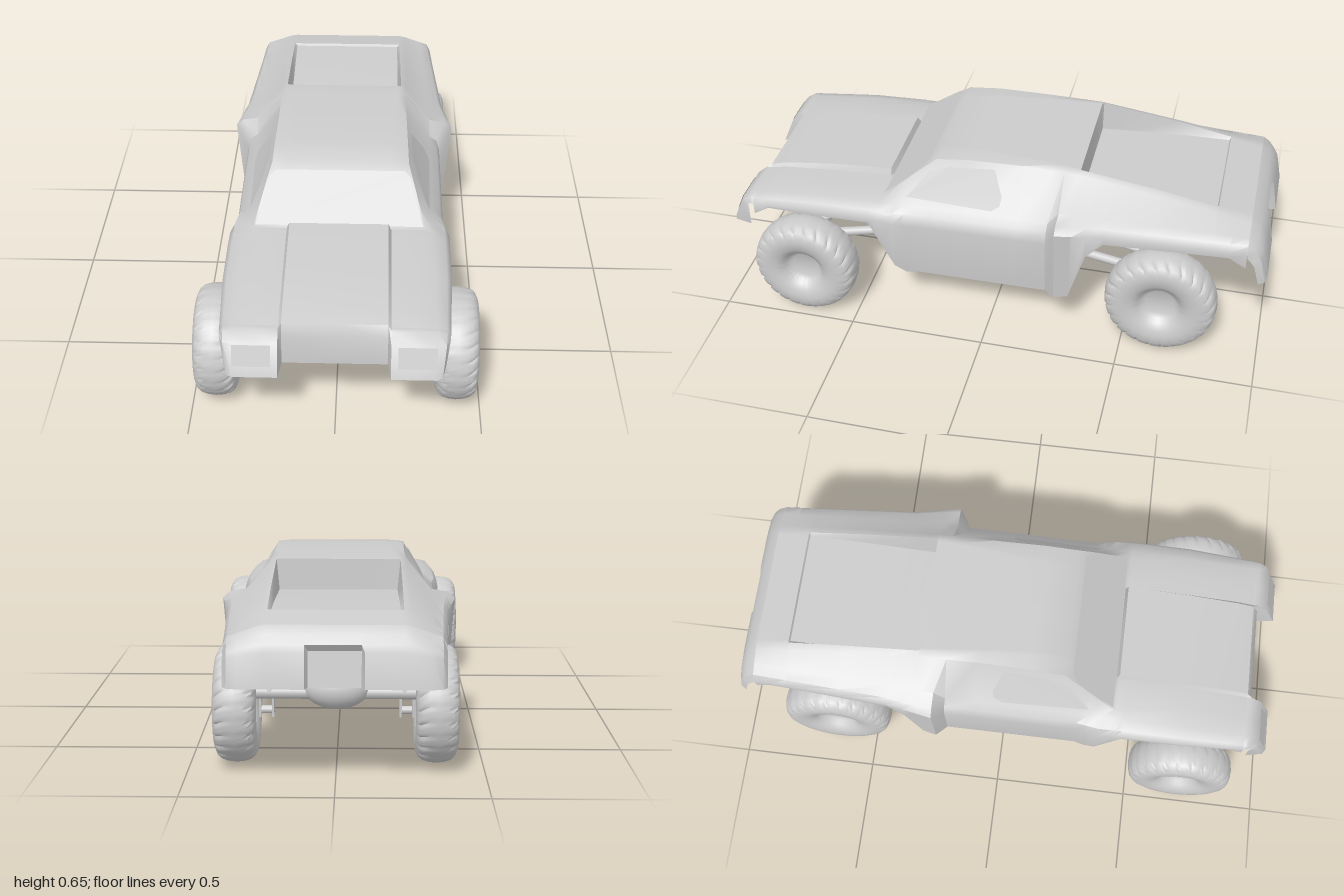
import * as THREE from 'three';
import { toCreasedNormals } from 'three/addons/utils/BufferGeometryUtils.js';

const mat = new THREE.MeshStandardMaterial({ color: 0xcccccc, side: THREE.DoubleSide });

function add(parent, name, geo) {
  const m = new THREE.Mesh(geo, mat);
  m.name = name;
  parent.add(m);
  return m;
}

// Surface through rows of [x, y, z] points, all rows the same length
function loft(rows) {
  const n = rows[0].length, idx = [];
  for (let r = 0; r < rows.length - 1; r++) {
    for (let c = 0; c < n - 1; c++) {
      const a = r * n + c, b = a + 1, d = a + n, e = d + 1;
      idx.push(a, b, d, b, e, d);
    }
  }
  const g = new THREE.BufferGeometry();
  g.setAttribute('position', new THREE.Float32BufferAttribute(rows.flat(2), 3));
  g.setIndex(idx);
  return toCreasedNormals(g, 0.75);
}

// Mirrors a half row (from x = 0 outwards) into a full row from -x to +x
const mirrorRow = (half) => [
  ...half.slice(1).reverse().map(([x, y, z]) => [-x, y, z]), ...half];

// Flat panel as a fan of corners
function panel(parent, name, pts) {
  const pos = [];
  for (let i = 1; i < pts.length - 1; i++) pos.push(...pts[0], ...pts[i], ...pts[i + 1]);
  const g = new THREE.BufferGeometry();
  g.setAttribute('position', new THREE.Float32BufferAttribute(pos, 3));
  g.computeVertexNormals();
  add(parent, name, g);
}

function rod(parent, name, a, b, r) {
  const p = new THREE.Vector3(...a), q = new THREE.Vector3(...b);
  const m = add(parent, name, new THREE.CylinderGeometry(r, r, p.distanceTo(q), 14));
  m.position.copy(p).lerp(q, 0.5);
  m.quaternion.setFromUnitVectors(new THREE.Vector3(0, 1, 0), q.sub(p).normalize());
}

function box(parent, name, size, at) {
  const m = add(parent, name, new THREE.BoxGeometry(...size));
  m.position.set(...at);
}

// Body lines along the length, front to back, as [z, value]
const lines = {
  roofY: [[0.9, 0.447], [0.84, 0.463], [0.65, 0.488], [0.42, 0.505], [0.41, 0.48], [0.22, 0.636],
    [0.1, 0.65], [-0.1, 0.655], [-0.3, 0.652], [-0.6, 0.609], [-0.92, 0.55]],
  hoodStep: [[0.9, 0.01], [0.65, 0.022], [0.42, 0.025], [0.41, 0]],
  bedDepth: [[-0.305, 0], [-0.311, 0.11], [-0.795, 0.01], [-0.8, 0]],
  stepX: [[0.1, 0.175], [-0.3, 0.212]],
  roofEdgeX: [[0.65, 0.27], [0.41, 0.305], [0.22, 0.246], [-0.1, 0.24], [-0.92, 0.25]],
  roofEdgeDrop: [[0.28, 0.001], [0.22, 0.006], [-0.3, 0.01], [-0.92, 0.006]],
  beltX: [[0.9, 0.335], [-0.3, 0.337], [-0.92, 0.308]],
  beltY: [[0.9, 0.434], [0.65, 0.458], [0.42, 0.467], [-0.21, 0.48], [-0.25, 0.532], [-0.92, 0.523]],
  sideX: [[0.9, 0.38], [0.65, 0.392], [0.36, 0.394], [0.28, 0.375], [-0.21, 0.377], [-0.25, 0.423],
    [-0.42, 0.39], [-0.8, 0.363], [-0.92, 0.356]],
  sideDrop: [[0.9, 0.027], [0.45, 0.037], [0.28, 0.065], [-0.21, 0.065], [-0.25, 0.035], [-0.92, 0.04]],
  lowerY: [[0.9, 0.36], [0.84, 0.4], [0.45, 0.408], [0.41, 0.32], [0.36, 0.21], [0.32, 0.178],
    [-0.21, 0.184], [-0.3, 0.2], [-0.36, 0.4], [-0.42, 0.462], [-0.86, 0.46], [-0.92, 0.42]],
};

function at(line, z) {
  const i = line.findIndex(([k]) => k <= z);
  if (i < 0) return line.at(-1)[1];
  if (i === 0) return line[0][1];
  const [z0, v0] = line[i - 1], [z1, v1] = line[i];
  return v0 + (v1 - v0) * (z - z0) / (z1 - z0);
}

// Half cross-section of the body, from the centre line out and down to the lower edge
function section(z) {
  const v = {};
  for (const key in lines) v[key] = at(lines[key], z);
  const inner = v.roofY - v.bedDepth, outer = v.roofY - v.hoodStep, sideY = v.beltY - v.sideDrop;
  return [
    [0, inner, z], [v.stepX, inner, z], [v.stepX + 0.01, outer, z],
    [v.roofEdgeX, outer - v.roofEdgeDrop, z], [v.beltX, v.beltY, z],
    [v.beltX + 0.7 * (v.sideX - v.beltX), v.beltY - 0.3 * v.sideDrop, z],
    [v.sideX, sideY, z], [v.sideX - 0.075 * (sideY - v.lowerY), v.lowerY, z]];
}

function bodyShell(root) {
  const body = new THREE.Group();
  body.name = 'bodyShell';
  root.add(body);
  const stations = [...new Set(Object.values(lines).flat().map(([z]) => z))].sort((a, b) => b - a);
  add(body, 'mainShell', loft(stations.map((z) => mirrorRow(section(z)))));

  // Nose: recessed centre between two forward pods
  const brow = section(0.9).slice(0, 7), forward = [0, 0, 1, 1, 1, 0.85, 0];
  const noseRow = (y, zMid, zPod, inset) => mirrorRow(brow.map(([x, top], i) =>
    [i > 4 ? x - inset : x, y ?? top, zMid + (zPod - zMid) * forward[i]]));
  add(body, 'nose', loft([noseRow(0.3, 0.925, 1, 0.012), noseRow(0.405, 0.92, 0.955, 0.002),
    noseRow(null, 0.9, 0.918, 0), noseRow(null, 0.9, 0.9, 0)]));

  // Tail panel with a small plate recess low in the middle
  const rear = section(-0.92), roofY = rear[0][1];
  const rim = [[0, roofY], [0.085, roofY], [0.095, roofY], ...rear.slice(2, 7)];
  const recess = [0.025, 0.025, 0, 0, 0, 0, 0.008, 0.03];
  const tailRow = (k, z) => mirrorRow(rim.map(([x, top], i) =>
    [x, top + (0.36 - top) * k, z + (k > 0.3 || (k > 0 && i > 4) ? recess[i] : 0)]));
  add(body, 'tailPanel', loft([tailRow(0, -0.92), tailRow(0.12, -0.952), tailRow(0.28, -0.97),
    tailRow(0.4, -0.98), tailRow(1, -1)]));

  // Windshield, side windows and headlights
  const glass = (x, z) => [x, at(lines.roofY, z) + 0.004, z];
  panel(body, 'windshield', [glass(-0.298, 0.407), glass(0.298, 0.407), glass(0.25, 0.265),
    glass(0.232, 0.248), glass(-0.232, 0.248), glass(-0.25, 0.265)]);
  const pane = [[0.32, 0.495], [0.24, 0.59], [0.17, 0.612], [0, 0.624], [-0.035, 0.54], [-0.03, 0.51], [0, 0.492]];
  const lamp = [[0.208, 0.335], [0.335, 0.335], [0.335, 0.402], [0.208, 0.402]];
  for (const s of [1, -1]) {
    panel(body, 'sideWindow', pane.map(([z, y]) => {
      const [, , , [x0, y0], [x1, y1]] = section(z);
      return [s * (x0 + (x1 - x0) * (y0 - y) / (y0 - y1) + 0.004), y + 0.002, z];
    }));
    panel(body, 'headlight', lamp.map(([x, y]) => [s * x, y, 0.958 + (0.405 - y) * 0.43]));
  }
}

// Soft balloon tyre with dished hub, axis along x
function wheel(root, name, x, y, z, r, side) {
  const prof = [[0, 0.025], [0.05, 0.025], [0.066, 0.035], [0.075, 0.052], [0.1, 0.067], [0.13, 0.073],
    [0.155, 0.071], [0.175, 0.062], [0.186, 0.048], [0.192, 0.028]];
  const pts = [...prof, [0.195, 0], ...prof.slice().reverse().map(([a, b]) => [a, -b])]
    .map(([a, b]) => new THREE.Vector2(a, -b));
  const g = new THREE.LatheGeometry(pts, 120);
  const p = g.attributes.position;
  // Shallow slanted notches on the tread shoulders
  for (let i = 0; i < p.count; i++) {
    const px = p.getX(i), py = p.getY(i), pz = p.getZ(i), rad = Math.hypot(px, pz);
    if (rad < 0.17) continue;
    const k = Math.round((Math.atan2(pz, px) / (2 * Math.PI) + 1) * 120);
    if ((k + Math.round(Math.abs(py) / 0.02)) % 5) continue;
    const f = 1 - Math.min(0.006, Math.abs(py) * 0.12) / rad;
    p.setXYZ(i, px * f, py * 0.97, pz * f);
  }
  g.scale(r / 0.195, 1, r / 0.195);
  g.deleteAttribute('uv');
  const m = add(root, name, toCreasedNormals(g, 0.8));
  m.rotation.z = Math.PI / 2;
  m.position.set(side * x, y, z);
}

function chassis(root) {
  const c = new THREE.Group();
  c.name = 'chassis';
  root.add(c);
  // Axles, differentials and drive line
  rod(c, 'frontAxle', [-0.36, 0.25, 0.69], [0.36, 0.25, 0.69], 0.024);
  rod(c, 'frontTieRod', [-0.33, 0.28, 0.73], [0.33, 0.28, 0.73], 0.012);
  box(c, 'frontAxlePlate', [0.12, 0.03, 0.02], [0, 0.27, 0.765]);
  rod(c, 'rearAxle', [-0.3, 0.25, -0.635], [0.3, 0.25, -0.635], 0.024);
  for (const z of [0.69, -0.635]) {
    const d = add(c, 'differential', new THREE.SphereGeometry(0.08, 24, 16));
    d.scale.set(1.4, 0.9, 0.9);
    d.position.set(0, 0.264, z);
  }
  rod(c, 'frontDriveShaft', [0, 0.265, 0.65], [0, 0.32, 0.1], 0.03);
  rod(c, 'rearDriveShaft', [0, 0.265, -0.6], [0, 0.32, -0.05], 0.02);
  box(c, 'transmission', [0.13, 0.09, 0.24], [0, 0.31, 0.05]);
  // Frame tubes
  for (const z of [-0.08, 0, 0.08, 0.16]) rod(c, 'floorSlat', [-0.13, 0.25, z], [0.13, 0.25, z], 0.015);
  for (const z of [-0.9, -0.5]) rod(c, 'rearCrossTube', [-0.2, 0.375, z], [0.2, 0.375, z], 0.014);
  rod(c, 'frontCrossTube', [-0.16, 0.36, 0.86], [0.16, 0.36, 0.86], 0.012);
  for (const s of [1, -1]) {
    rod(c, 'floorRail', [s * 0.13, 0.25, 0.18], [s * 0.13, 0.25, -0.1], 0.016);
    rod(c, 'rearFrameRise', [s * 0.13, 0.25, -0.1], [s * 0.2, 0.375, -0.5], 0.014);
    rod(c, 'rearFrameRail', [s * 0.2, 0.375, -0.5], [s * 0.2, 0.375, -0.91], 0.015);
    rod(c, 'frontFrameRise', [s * 0.13, 0.25, 0.18], [s * 0.18, 0.36, 0.5], 0.014);
    rod(c, 'frontFrameRail', [s * 0.18, 0.36, 0.5], [s * 0.16, 0.36, 0.87], 0.014);
    // Trailing links
    rod(c, 'lowerRearLink', [s * 0.14, 0.25, -0.08], [s * 0.24, 0.24, -0.63], 0.017);
    rod(c, 'upperRearLink', [s * 0.22, 0.43, -0.32], [s * 0.2, 0.385, -0.66], 0.012);
    rod(c, 'middleRearLink', [s * 0.22, 0.37, -0.34], [s * 0.24, 0.32, -0.63], 0.012);
    rod(c, 'lowerFrontLink', [s * 0.14, 0.25, 0.16], [s * 0.3, 0.25, 0.67], 0.017);
    rod(c, 'upperFrontLink', [s * 0.22, 0.4, 0.44], [s * 0.3, 0.31, 0.68], 0.012);
    // Dampers, body posts and link brackets
    rod(c, 'rearDamper', [s * 0.23, 0.25, -0.64], [s * 0.21, 0.43, -0.6], 0.02);
    rod(c, 'frontDamper', [s * 0.28, 0.25, 0.68], [s * 0.22, 0.39, 0.66], 0.02);
    for (const z of [-0.78, -0.87]) rod(c, 'bodyPost', [s * 0.2, 0.375, z], [s * 0.2, 0.52, z], 0.011);
    for (const dx of [-0.022, 0.022]) box(c, 'linkBracket', [0.008, 0.07, 0.05], [s * 0.24 + dx, 0.195, -0.61]);
    rod(c, 'bracketBolt', [s * 0.215, 0.18, -0.61], [s * 0.265, 0.18, -0.61], 0.014);
  }
}

export function createModel() {
  const root = new THREE.Group();
  root.name = 'offRoadTruck';
  bodyShell(root);
  chassis(root);
  for (const s of [1, -1]) {
    wheel(root, 'frontWheel', 0.414, 0.2, 0.692, 0.196, s);
    wheel(root, 'rearWheel', 0.338, 0.215, -0.635, 0.205, s);
  }
  return root;
}
